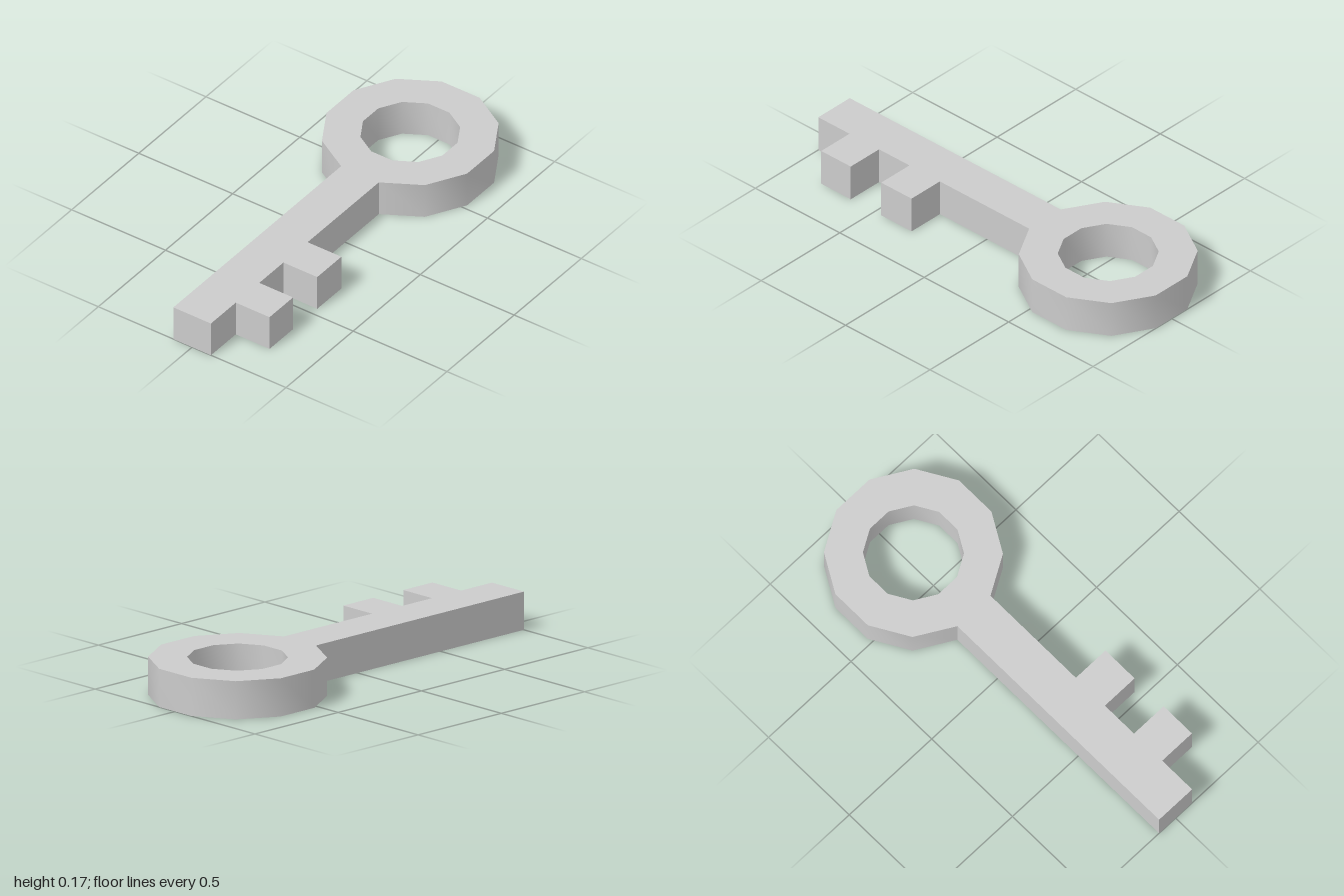
import * as THREE from 'three';
import { toCreasedNormals } from 'three/addons/utils/BufferGeometryUtils.js';

const THICKNESS = 0.172;
const BOW_X = 0.624;

// Corners of a twelve-sided ring, counter-clockwise, with a flat side facing the shaft
function ringCorners(radius) {
  const corners = [];
  for (let i = 0; i < 12; i++) {
    const a = THREE.MathUtils.degToRad(-165 + i * 30);
    corners.push(new THREE.Vector2(BOW_X + radius * Math.cos(a), radius * Math.sin(a)));
  }
  return corners;
}

export function createModel() {
  const group = new THREE.Group();
  group.name = 'key';

  // Bow outline, running on into the shaft and its end
  const outline = ringCorners(0.388);
  outline.push(new THREE.Vector2(-1, 0.1), new THREE.Vector2(-1, -0.1));

  // Two square teeth on the front edge of the shaft
  for (const [x0, x1] of [[-0.815, -0.64], [-0.46, -0.28]]) {
    for (const [x, y] of [[x0, -0.1], [x0, -0.28], [x1, -0.28], [x1, -0.1]]) {
      outline.push(new THREE.Vector2(x, y));
    }
  }

  // Hole through the bow
  const shape = new THREE.Shape(outline);
  shape.holes.push(new THREE.Path(ringCorners(0.219).reverse()));

  // Extrude and lay flat; the ring walls are smooth, all other edges sharp
  const solid = new THREE.ExtrudeGeometry(shape, { depth: THICKNESS, bevelEnabled: false });
  solid.rotateX(-Math.PI / 2);
  const geometry = toCreasedNormals(solid, THREE.MathUtils.degToRad(40));

  const mesh = new THREE.Mesh(geometry, new THREE.MeshStandardMaterial({ color: 0xcccccc }));
  mesh.name = 'keyBody';
  group.add(mesh);
  return group;
}
